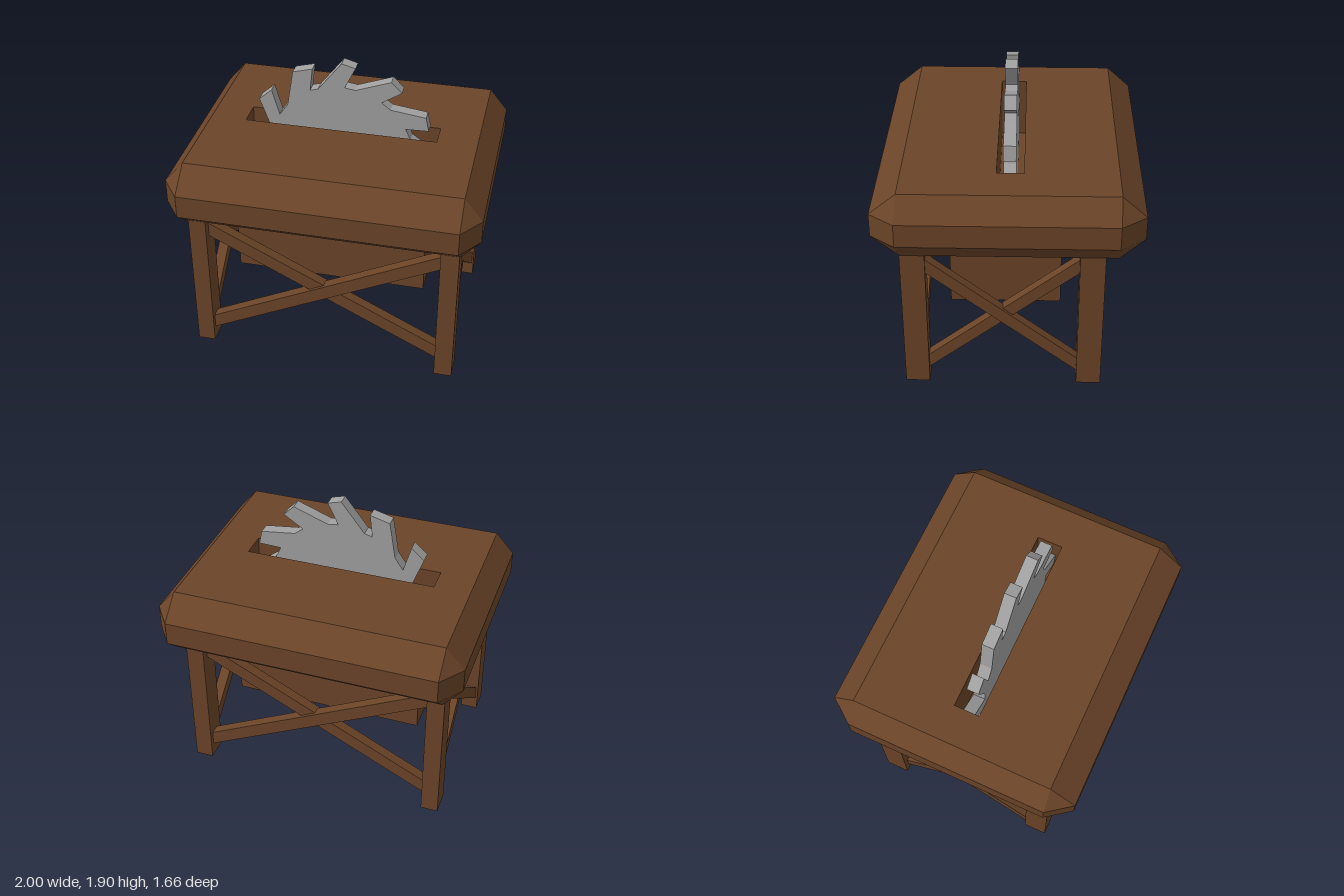
import * as THREE from 'three';

const wood = new THREE.MeshStandardMaterial({ color: 0x6b4428, flatShading: true });
const steel = new THREE.MeshStandardMaterial({ color: 0xa0a0a0, flatShading: true });

function addMesh(parent, name, geometry, material = wood) {
  const mesh = new THREE.Mesh(geometry, material);
  mesh.name = name;
  parent.add(mesh);
  return mesh;
}

// Box given by its extents
function addBox(parent, name, x0, x1, y0, y1, z0, z1) {
  const mesh = addMesh(parent, name, new THREE.BoxGeometry(x1 - x0, y1 - y0, z1 - z0));
  mesh.position.set((x0 + x1) / 2, (y0 + y1) / 2, (z0 + z1) / 2);
  return mesh;
}

// Eight-point rectangle with corners cut by cx and cz, counter-clockwise from above
function ring(y, x0, x1, z0, z1, cx = 0, cz = 0) {
  return [
    [x1, z1 - cz], [x1, z0 + cz], [x1 - cx, z0], [x0 + cx, z0],
    [x0, z0 + cz], [x0, z1 - cz], [x0 + cx, z1], [x1 - cx, z1],
  ].map(([x, z]) => new THREE.Vector3(x, y, z));
}

// Skin between successive rings, leaving out empty triangles
function loft(rings) {
  const points = [];
  const tri = (a, b, c) => {
    if (new THREE.Triangle(a, b, c).getArea() > 1e-7) points.push(a, b, c);
  };
  for (let r = 0; r < rings.length - 1; r++) {
    const lo = rings[r], hi = rings[r + 1];
    for (let i = 0; i < 8; i++) {
      const j = (i + 1) % 8;
      tri(lo[i], lo[j], hi[j]);
      tri(lo[i], hi[j], hi[i]);
    }
  }
  const geometry = new THREE.BufferGeometry().setFromPoints(points);
  geometry.computeVertexNormals();
  return geometry;
}

function extrude(points, depth) {
  const shape = new THREE.Shape(points.map(([x, y]) => new THREE.Vector2(x, y)));
  return new THREE.ExtrudeGeometry(shape, { depth, bevelEnabled: false });
}

// Pair of crossing braces between two legs; rise = 1 puts the rising one outside
function crossBrace(name, half, rise) {
  const group = new THREE.Group();
  group.name = name;
  for (const [s, z] of [[rise, -0.025], [-rise, -0.045]]) {
    const a = s > 0 ? 0.09 : 0.855, b = s > 0 ? 0.855 : 0.09;
    const bar = extrude([[-half, a], [half, b], [half, b + 0.1], [-half, a + 0.1]], 0.07);
    addMesh(group, 'brace', bar).position.z = z;
  }
  return group;
}

export function createModel() {
  const model = new THREE.Group();
  model.name = 'tableSaw';

  // Chamfered tabletop with a slot for the blade
  addMesh(model, 'tabletop', loft([
    ring(0.995, 0, 0, 0, 0),
    ring(0.995, -0.88, 0.88, -0.68, 0.66),
    ring(1.137, -1, 1, -0.835, 0.83, 0.12, 0.16),
    ring(1.292, -1, 1, -0.835, 0.83, 0.12, 0.16),
    ring(1.433, -0.88, 0.88, -0.68, 0.66),
    ring(1.433, -0.645, 0.62, -0.097, 0.073),
    ring(1.02, -0.645, 0.62, -0.097, 0.073),
    ring(1.02, 0, 0, 0, 0),
  ]));

  // Housing under the top
  addBox(model, 'bladeHousing', -0.642, 0.62, 0.468, 1.0, -0.337, 0.373);

  // Legs
  for (const [x0, x1] of [[-0.877, -0.763], [0.757, 0.875]]) {
    for (const [z0, z1] of [[-0.603, -0.445], [0.508, 0.663]]) {
      addBox(model, 'leg', x0, x1, 0, 1.0, z0, z1);
    }
  }

  // Cross braces on all four sides
  for (const side of [0, 1]) {
    const s = side ? -1 : 1;
    const long = crossBrace(side ? 'backBraces' : 'frontBraces', 0.765, 1);
    long.position.z = 0.03 + s * 0.555;
    long.rotation.y = side * Math.PI;
    const short = crossBrace(side ? 'rightBraces' : 'leftBraces', 0.48, -1);
    short.position.set(s * 0.818, 0, 0.03);
    short.rotation.y = s * Math.PI / 2;
    model.add(long, short);
  }

  // Blade outline: exposed teeth, then the same tooth repeated below the top
  const outline = [
    [-0.56, 1.58], [-0.475, 1.655], [-0.425, 1.48], [-0.37, 1.56],
    [-0.33, 1.805], [-0.2, 1.84], [-0.217, 1.685], [-0.165, 1.7],
    [-0.01, 1.9], [0.08, 1.875], [0.01, 1.73], [0.08, 1.72],
    [0.31, 1.805], [0.38, 1.735], [0.25, 1.65], [0.31, 1.605],
    [0.54, 1.575], [0.56, 1.48], [0.41, 1.475], [0.445, 1.4],
  ];
  for (let base = 0; base >= -180; base -= 30) {
    for (const [turn, r] of [[1, 0.635], [-8, 0.62], [-1, 0.475], [-11, 0.475]]) {
      const a = THREE.MathUtils.degToRad(base + turn);
      outline.push([-0.01 + r * Math.cos(a), 1.26 + r * Math.sin(a)]);
    }
  }
  addMesh(model, 'blade', extrude(outline, 0.08), steel).position.z = -0.047;

  return model;
}
